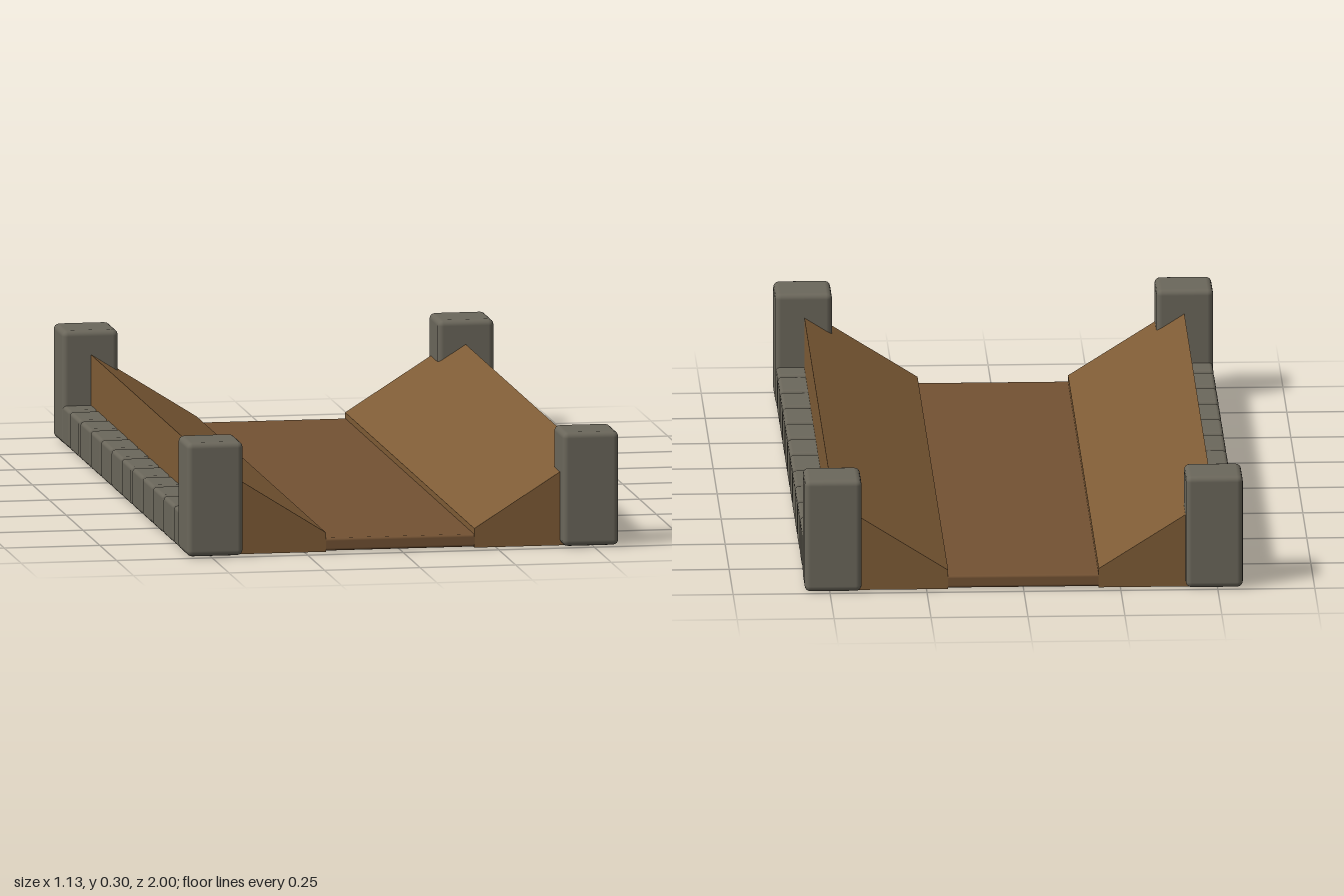
import * as THREE from 'three';
import { RoundedBoxGeometry } from 'three/addons/geometries/RoundedBoxGeometry.js';

export function createModel() {
  const group = new THREE.Group();
  const stone = new THREE.MeshStandardMaterial({ color: 0x6b675b });
  const earth = new THREE.MeshStandardMaterial({ color: 0x7f5c36 });
  const bed = new THREE.MeshStandardMaterial({ color: 0x735233 });

  const zBack = -0.967, zFront = 0.953;
  const length = zFront - zBack, zMid = (zFront + zBack) / 2;

  const add = (name, geometry, material, x, y, z) => {
    const mesh = new THREE.Mesh(geometry, material);
    mesh.name = name;
    mesh.position.set(x, y, z);
    group.add(mesh);
  };

  // Channel floor, tucked slightly under the banks
  add('floor', new RoundedBoxGeometry(0.4, 0.033, length, 2, 0.007), bed, 0, 0.0185, zMid);

  const postGeometry = new RoundedBoxGeometry(0.147, 0.297, 0.145, 2, 0.015);
  const stoneGeometry = new RoundedBoxGeometry(0.14, 0.1, 0.14, 2, 0.01);

  for (const side of [1, -1]) {
    const sideName = side > 0 ? 'left' : 'right';

    // Sloping bank: a wedge section with a low inner lip
    const section = new THREE.Shape([
      [0.194, 0], [0.49, 0], [0.49, 0.237], [0.194, 0.05],
    ].map(([x, y]) => new THREE.Vector2(side * x, y)));
    const bank = new THREE.ExtrudeGeometry(section, { depth: length, bevelEnabled: false });
    add(`${sideName}Bank`, bank, earth, 0, 0, zBack);

    // Row of kerb stones along the outside
    for (let i = 0; i < 12; i++) {
      add(`${sideName}KerbStone${i + 1}`, stoneGeometry, stone,
        side * 0.493, 0.055, 0.0025 + (i - 5.5) * 0.1545);
    }

    // Corner posts
    for (const end of [1, -1]) {
      add(`${sideName}${end > 0 ? 'Front' : 'Back'}Post`, postGeometry, stone,
        side * 0.4915, 0.1515, end * 0.9275);
    }
  }
  return group;
}
